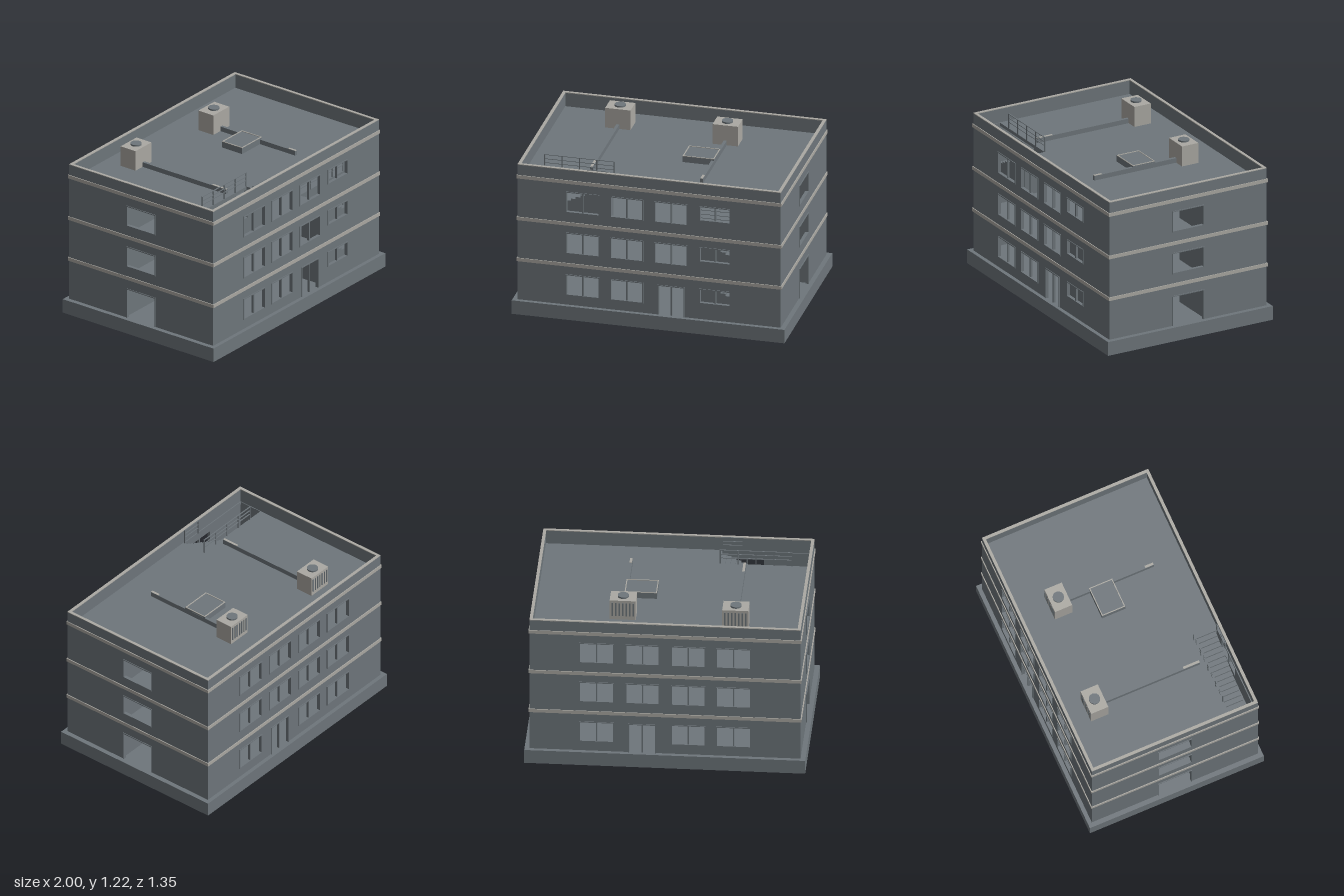
import * as THREE from 'three';

export function createModel() {
  const model = new THREE.Group();
  model.name = 'officeBlock';
  const material = (name, color) => {
    const m = new THREE.MeshStandardMaterial({ color });
    m.name = name;
    return m;
  };
  const grey = material('slateGrey', 0x6e767b);
  const light = material('paleStone', 0xaba9a3);

  const add = (name, geometry, mat, parent = model) => {
    const mesh = new THREE.Mesh(geometry, mat);
    mesh.name = name;
    parent.add(mesh);
    return mesh;
  };
  // Box given by its two extreme corners
  const box = (name, mat, x0, x1, y0, y1, z0, z1, parent = model) => {
    const mesh = add(name, new THREE.BoxGeometry(x1 - x0, y1 - y0, z1 - z0), mat, parent);
    mesh.position.set((x0 + x1) / 2, (y0 + y1) / 2, (z0 + z1) / 2);
    return mesh;
  };
  const rect = (Type, x0, x1, y0, y1) => {
    const p = new Type();
    p.moveTo(x0, y0);
    p.lineTo(x1, y0);
    p.lineTo(x1, y1);
    p.lineTo(x0, y1);
    p.closePath();
    return p;
  };
  const extrude = (shape, depth) => new THREE.ExtrudeGeometry(shape, { depth, bevelEnabled: false });

  const W = 0.965, D = 0.645, T = 0.02, BASE = 0.105, TOP = 1.16, ROOF = 1.05;
  box('base', grey, -1, 1, 0, BASE, -0.675, 0.675);

  // A wall with framed openings; outer face at local z = 0
  function wall(name, half, openings, distance, turn) {
    const g = new THREE.Group();
    g.name = name;
    const shape = rect(THREE.Shape, -half, half, BASE - 0.01, TOP - 0.005);
    for (const [x0, x1, y0, y1, mullion] of openings) {
      shape.holes.push(rect(THREE.Path, x0, x1, y0, y1));
      const f = 0.007, out = 0.005;
      box('frameTop', grey, x0 - f, x1 + f, y1, y1 + f, -T, out, g);
      if (y0 > BASE + 0.01) box('sill', grey, x0 - f, x1 + f, y0 - f, y0, -T, out, g);
      box('frameSide', grey, x0 - f, x0, y0, y1, -T, out, g);
      box('frameSide', grey, x1, x1 + f, y0, y1, -T, out, g);
      const mid = (x0 + x1) / 2;
      if (mullion) box('mullion', grey, mid - 0.005, mid + 0.005, y0, y1, -T, -0.002, g);
    }
    add('wallPanel', extrude(shape, T), grey, g).position.z = -T;
    const pivot = new THREE.Group();
    pivot.name = name + 'Side';
    g.position.z = distance;
    pivot.rotation.y = turn;
    pivot.add(g);
    model.add(pivot);
  }

  const front = [], back = [], side = [];
  [0.185, 0.51, 0.83].forEach((y, i) => {
    const head = y + 0.15;
    front.push([-0.605, -0.37, y, head, true], [-0.28, -0.05, y, head, true]);
    front.push(i ? [0.045, 0.275, y, head, true] : [0.07, 0.255, BASE, 0.33, true]);
    front.push([0.375, 0.59, y + 0.048, head, true]);
    // The back wall is turned round, so its local x is reversed
    back.push([-0.605, -0.37, y, head, true]);
    back.push(i ? [-0.275, -0.045, y, head, true] : [-0.255, -0.07, BASE, 0.33, true]);
    back.push([0.05, 0.28, y, head, true], [0.37, 0.605, y, head, true]);
    side.push([-0.125, 0.125, i ? y : BASE, i ? y + 0.147 : 0.327, false]);
  });
  wall('frontWall', W, front, D, 0);
  wall('backWall', W, back, D, Math.PI);
  wall('leftWall', D - T, side, W, Math.PI / 2);
  wall('rightWall', D - T, side, W, -Math.PI / 2);

  // Rectangular rings: storey bands and parapet cap
  function ring(name, x, z, width, top, height) {
    const shape = rect(THREE.Shape, -x, x, -z, z);
    shape.holes.push(rect(THREE.Path, -x + width, x - width, -z + width, z - width));
    const mesh = add(name, extrude(shape, height), light);
    mesh.rotation.x = Math.PI / 2;
    mesh.position.y = top;
  }
  for (const y of [0.43, 0.75, 1.076]) ring('storeyBand', W + 0.006, D + 0.006, 0.012, y, 0.026);
  ring('parapetCap', W, D, T + 0.002, TOP, 0.006);

  // Floors and roof, each with a stairwell, stairs below it and rails round it
  const levels = [BASE, 0.43, 0.75, ROOF];
  const rail = (x0, x1, y, z0, z1, parent) => {
    const r = 0.004;
    for (const h of [0.05, 0.08, 0.112])
      box('railBar', grey, x0 - r, x1 + r, y + h - r, y + h, z0 - r, z1 + r, parent);
    const count = Math.max(1, Math.round(Math.hypot(x1 - x0, z1 - z0) / 0.12));
    for (let i = 0; i <= count; i++) {
      const x = x0 + (x1 - x0) * i / count, z = z0 + (z1 - z0) * i / count;
      box('railPost', grey, x - r, x + r, y, y + 0.112, z - r, z + r, parent);
    }
  };
  for (let i = 1; i < 4; i++) {
    const s = i === 3 ? -1 : 1;
    const y0 = levels[i - 1], y1 = levels[i];
    const slab = rect(THREE.Shape, -W + T, W - T, -D + T, D - T);
    const xs = [s * 0.31, s * 0.94].sort((a, b) => a - b);
    slab.holes.push(rect(THREE.Path, xs[0], xs[1], 0.44, 0.618));
    const floor = add(i === 3 ? 'roofDeck' : 'floor', extrude(slab, 0.024), grey);
    floor.rotation.x = Math.PI / 2;
    floor.position.y = y1;

    const steps = 17, run = 0.58 / steps, rise = (y1 - y0) / (steps + 1);
    const profile = new THREE.Shape();
    profile.moveTo(s * 0.89, y0);
    for (let k = 0; k < steps; k++) {
      profile.lineTo(s * (0.89 - k * run), y0 + (k + 1) * rise);
      profile.lineTo(s * (0.89 - (k + 1) * run), y0 + (k + 1) * rise);
    }
    profile.lineTo(s * 0.31, y0);
    add('stairs', extrude(profile, 0.15), grey).position.z = 0.455;

    const rails = new THREE.Group();
    rails.name = 'stairRailing';
    model.add(rails);
    const ends = [s * 0.31, s * 0.82].sort((a, b) => a - b);
    rail(ends[0], ends[1], y1, 0.436, 0.436, rails);
    const short = [s * 0.31, s * 0.46].sort((a, b) => a - b);
    rail(short[0], short[1], y1, 0.615, 0.615, rails);
  }

  // Corridor walls with doorways and pale lintels on every storey
  for (let i = 0; i < 3; i++) {
    const y0 = levels[i], y1 = levels[i + 1] - 0.024;
    for (const z of [-0.15, 0.15]) {
      for (const [a, b] of [[-0.945, -0.605], [-0.49, -0.065], [0.055, 0.49], [0.6, 0.945]])
        box('corridorWall', grey, a, b, y0, y1, z - 0.01, z + 0.01);
      for (const [a, b] of [[-0.605, -0.49], [0.49, 0.6]])
        box('doorLintel', light, a, b, y0 + 0.193, y1, z - 0.01, z + 0.01);
    }
  }

  // Rooftop cooling units, each with a fan, rear louvres and a duct
  function coolingUnit(x, z, ductX, slopeStart) {
    const g = new THREE.Group();
    g.name = 'coolingUnit';
    model.add(g);
    const hw = 0.093, hd = 0.067;
    box('unitBody', light, x - hw, x + hw, ROOF, 1.203, z - hd, z + hd, g);
    add('fan', new THREE.CylinderGeometry(0.04, 0.04, 0.014, 24), grey, g).position.set(x, 1.208, z);
    for (let k = 0; k < 7; k++) {
      const fx = x - 0.075 + k * 0.025;
      box('louvre', grey, fx - 0.005, fx + 0.005, ROOF + 0.03, 1.185, z - hd - 0.004, z - hd, g);
    }
    box('duct', grey, ductX - 0.011, ductX + 0.011, ROOF, ROOF + 0.035, z + hd, 0.4, g);
    box('ductEnd', light, ductX - 0.009, ductX + 0.009, ROOF + 0.035, ROOF + 0.037, slopeStart, 0.4, g);
  }
  coolingUnit(-0.487, -0.413, -0.487, 0.275);
  coolingUnit(0.32, -0.337, 0.32, 0.335);

  // Roof hatch with a pale rim
  box('roofHatch', grey, 0.1, 0.33, ROOF, ROOF + 0.045, -0.095, 0.085);
  for (const [a, b, c, d] of [[0.1, 0.33, -0.095, -0.088], [0.1, 0.33, 0.078, 0.085],
    [0.1, 0.107, -0.088, 0.078], [0.323, 0.33, -0.088, 0.078]])
    box('hatchRim', light, a, b, ROOF + 0.045, ROOF + 0.049, c, d);

  return model;
}
